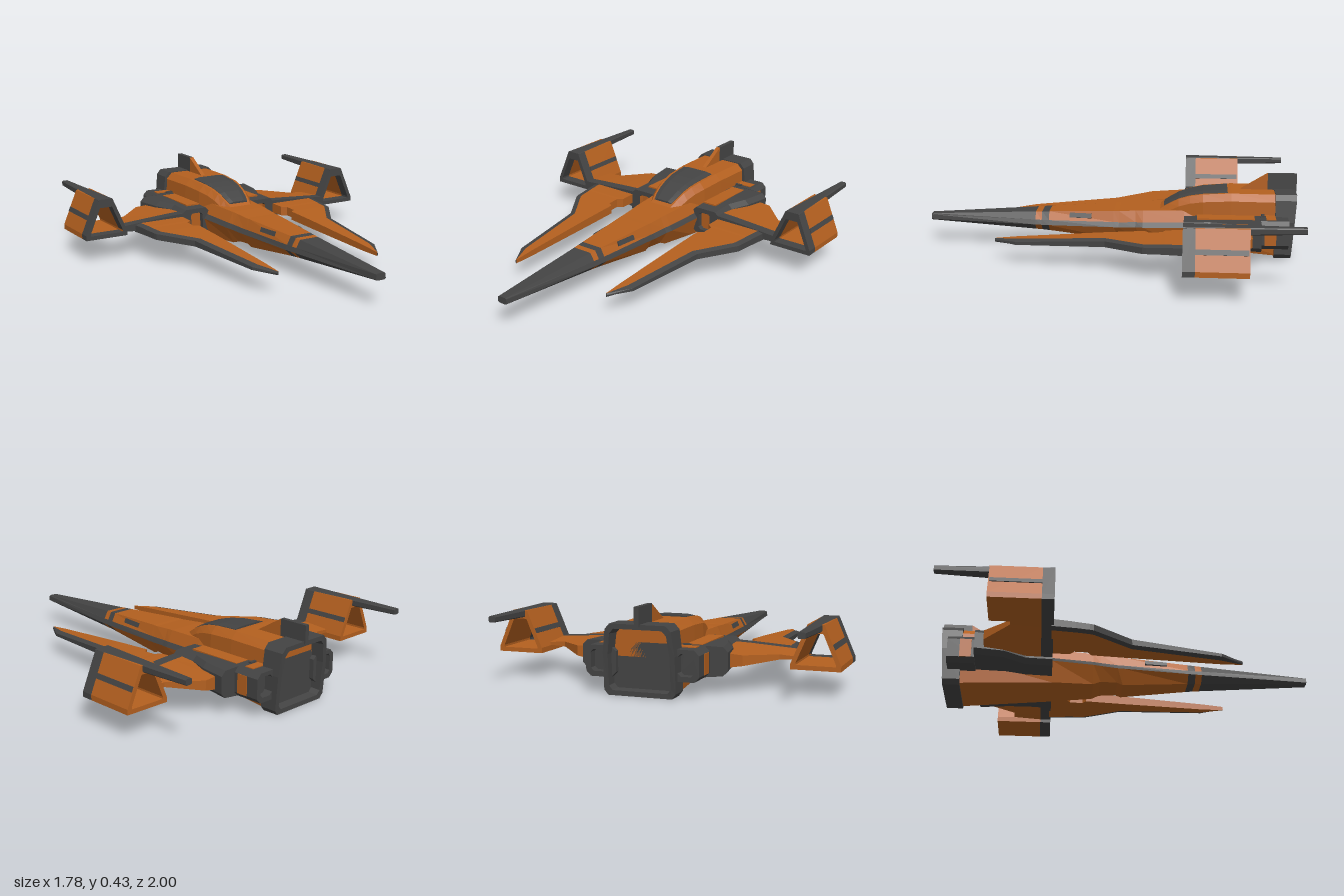
import * as THREE from 'three';

const orange = new THREE.MeshStandardMaterial({ color: 0xb4601f });
orange.name = 'burnt orange';
const dark = new THREE.MeshStandardMaterial({ color: 0x444444 });
dark.name = 'dark grey';
const O = 0, D = 1, PALETTE = [orange, dark];

// Skin between rings of [x,y,z]; pick(i,j) gives the colour of each panel. side -1 mirrors it.
function loft(name, rings, pick, capBack = D, capFront = D, side = 1) {
  if (side < 0) rings = rings.map(r => r.map(([x, y, z]) => [-x, y, z]).reverse());
  const pos = [[], []], n = rings[0].length;
  const tri = (c, ...pts) => pts.forEach(p => pos[c].push(...p));
  for (let i = 0; i < rings.length - 1; i++) {
    for (let j = 0; j < n; j++) {
      const k = (j + 1) % n, a = rings[i][j], b = rings[i][k], c = rings[i + 1][k], d = rings[i + 1][j];
      const panel = side < 0 ? (2 * n - 2 - j) % n : j;
      const col = pick(i, panel);
      // the mirrored loft runs backwards when rings advance along x
      tri(col, a, b, c); tri(col, a, c, d);
    }
  }
  const first = rings[0], last = rings[rings.length - 1];
  for (let j = 1; j < n - 1; j++) {
    tri(capBack, first[0], first[j + 1], first[j]);
    tri(capFront, last[0], last[j], last[j + 1]);
  }
  const g = new THREE.BufferGeometry();
  g.setAttribute('position', new THREE.Float32BufferAttribute(pos[0].concat(pos[1]), 3));
  g.addGroup(0, pos[0].length / 3, 0);
  g.addGroup(pos[0].length / 3, pos[1].length / 3, 1);
  g.computeVertexNormals();
  const m = new THREE.Mesh(g, PALETTE);
  m.name = name;
  return m;
}

function box(name, mat, size, at, rot = [0, 0, 0]) {
  const m = new THREE.Mesh(new THREE.BoxGeometry(...size), mat);
  m.position.set(...at);
  m.rotation.set(...rot);
  m.name = name;
  return m;
}

function extrude(name, mat, pts, depth, hole) {
  const shape = new THREE.Shape(pts.map(p => new THREE.Vector2(...p)));
  if (hole) shape.holes.push(new THREE.Path(hole.map(p => new THREE.Vector2(...p))));
  const m = new THREE.Mesh(new THREE.ExtrudeGeometry(shape, { depth, bevelEnabled: false }), mat);
  m.name = name;
  return m;
}

// Chamfered rectangle section
const oct = (x0, x1, y0, y1, z, c = 0.025) => [
  [x0 + c, y0, z], [x1 - c, y0, z], [x1, y0 + c, z], [x1, y1 - c, z],
  [x1 - c, y1, z], [x0 + c, y1, z], [x0, y1 - c, z], [x0, y0 + c, z]];

// Symmetric section from its right half, listed bottom to top
const sym = half => [...half, ...half.slice().reverse().map(([x, y, z]) => [-x, y, z])];

function buildFuselage(g) {
  // z, top half width, half width, top y, chine y, bottom y, bottom half width
  const rows = [
    [-0.92, 0.14, 0.18, 0.25, 0.17, 0.01, 0.16], [-0.4, 0.12, 0.165, 0.24, 0.165, 0.045, 0.13],
    [-0.18, 0.105, 0.148, 0.232, 0.157, 0.055, 0.1], [-0.14, 0.1, 0.14, 0.229, 0.155, 0.073, 0.095],
    [-0.05, 0.095, 0.13, 0.222, 0.15, 0.075, 0.085], [-0.02, 0.092, 0.127, 0.222, 0.15, 0.063, 0.083],
    [0.335, 0.062, 0.097, 0.204, 0.145, 0.095, 0.055], [0.375, 0.058, 0.093, 0.202, 0.145, 0.098, 0.052],
    [0.41, 0.055, 0.09, 0.2, 0.145, 0.1, 0.05], [1, 0.02, 0.03, 0.167, 0.148, 0.132, 0.02]];
  const rings = rows.map(([z, t, w, yt, yc, yb, b]) =>
    sym([[b, yb, z], [w, yc - 0.01, z], [w * 0.88, yc + 0.015, z], [t, yt, z]]));
  g.add(loft('fuselage', rings, (i, j) => (i === 6 || i === 8 || j === 1 || j === 5 ? D : O)));

  // Raised cockpit fairing and the glass on it
  const hump = [[-0.92, 0.16, 0.337], [-0.65, 0.155, 0.338], [-0.5, 0.145, 0.328],
    [-0.43, 0.13, 0.315], [-0.37, 0.118, 0.295], [-0.32, 0.105, 0.268], [-0.27, 0.09, 0.235]];
  g.add(loft('cockpitFairing', hump.map(([z, w, y]) =>
    sym([[w, 0.18, z], [w * 0.97, Math.max(y - 0.035, 0.19), z], [w * 0.75, y, z]])), () => O, O, O));
  const glass = hump.slice(1).map(([z, w, y]) => {
    const zz = Math.max(-0.63, Math.min(z, -0.29)), h = w * 0.66;
    const yy = z > -0.28 ? 0.25 : y;
    return sym([[h, yy - 0.02, zz], [h * 0.97, yy + 0.002, zz], [h * 0.6, yy + 0.008, zz]]);
  });
  g.add(loft('canopyGlass', glass, () => D));

  // Engine housing with a recessed nozzle
  const outline = sym([[0.16, 0], [0.18, 0.025], [0.18, 0.2], [0.165, 0.315], [0.14, 0.342]].map(p => [...p, 0]));
  const ring = (z, s, tilt) => outline.map(([x, y]) =>
    [x * s, 0.17 + (y - 0.17) * s, z - tilt * y]);
  g.add(loft('engineHousing', [ring(-0.9, 0.82, 0), ring(-0.968, 0.86, 0.07),
    ring(-0.968, 1, 0.07), ring(-0.88, 1, 0)], () => D));

  // Tail fin, cut in the z-y plane
  [['finFront', orange, [[0.69, 0.33], [0.845, 0.33], [0.845, 0.425]]],
    ['finRear', dark, [[0.845, 0.33], [1, 0.33], [1, 0.425], [0.845, 0.425]]]].forEach(([n, m, p]) => {
    const fin = extrude(n, m, p, 0.024);
    fin.rotation.y = Math.PI / 2;
    fin.position.x = -0.012;
    g.add(fin);
  });
}

function buildSide(g, s) {
  const at = (x, y, z) => [s * x, y, z];

  // Nacelle: rear nozzle, flared shoulder and recessed intake
  g.add(loft('nacelle', [
    oct(0.18, 0.26, 0.105, 0.21, -0.9, 0.015), oct(0.18, 0.26, 0.105, 0.21, -0.945, 0.015),
    oct(0.13, 0.285, 0.08, 0.23, -0.945), oct(0.13, 0.285, 0.08, 0.23, -0.8),
    oct(0.13, 0.375, 0.09, 0.228, -0.8), oct(0.13, 0.35, 0.09, 0.228, -0.65),
    oct(0.13, 0.308, 0.075, 0.225, -0.54), oct(0.13, 0.31, 0.07, 0.22, -0.4),
    oct(0.175, 0.255, 0.09, 0.195, -0.4, 0.015), oct(0.175, 0.255, 0.09, 0.195, -0.43, 0.015),
  ], () => D, D, O, s));
  g.add(box('nacelleTopPanel', orange, [0.08, 0.008, 0.3], at(0.2, 0.227, -0.62)));
  g.add(box('nacelleRearPanel', orange, [0.09, 0.008, 0.05], at(0.2, 0.23, -0.855)));
  g.add(box('nacelleSidePanel', orange, [0.008, 0.1, 0.06], at(0.284, 0.155, -0.85)));
  g.add(box('deckMark', dark, [0.09, 0.008, 0.016], at(0.15, 0.235, -0.815)));
  g.add(box('noseSidePlate', dark, [0.008, 0.026, 0.12], at(0.091, 0.192, 0.16), [0, -s * 0.085, s * 0.4]));

  // Wing, skinned outward with a dark leading edge: x, trailing z, bottom, top
  const wing = [[0.25, -0.72, 0.1, 0.205], [0.37, -0.75, 0.115, 0.2], [0.43, -0.75, 0.125, 0.196],
    [0.57, -0.615, 0.142, 0.187], [0.675, -0.615, 0.148, 0.18]].map(([x, z, b, t]) =>
    [[x, b, -0.4], [x, b, -0.46], [x, b + 0.01, z], [x, t - 0.01, z], [x, t, -0.46], [x, t, -0.4]]);
  g.add(loft('wing', wing, (i, j) => (j === 0 || j >= 4 ? D : O), O, O, s));

  // Forward blade with a notch and dark outer border: z, inner x, outer x, bottom, top
  const blade = [[-0.41, 0.305, 0.6, 0.13, 0.185], [-0.31, 0.305, 0.588, 0.13, 0.182],
    [-0.29, 0.335, 0.586, 0.13, 0.18], [-0.22, 0.335, 0.577, 0.128, 0.177],
    [-0.2, 0.305, 0.573, 0.127, 0.176], [0, 0.306, 0.445, 0.118, 0.165],
    [0.47, 0.308, 0.385, 0.1, 0.132], [0.59, 0.308, 0.315, 0.1, 0.12]].map(([z, xi, xo, b, t]) => {
    const xm = Math.max(xi + 0.002, xo - 0.032);
    return [[xi, b, z], [xm, b, z], [xo, b + 0.008, z], [xo, t - 0.008, z], [xm, t, z], [xi, t, z]];
  });
  g.add(loft('forwardBlade', blade, (i, j) => (j >= 1 && j <= 3 ? D : O), O, D, s));

  // Open wingtip pod: orange shell, dark front frame, tapering top beam
  const outer = [[-0.12, 0.128], [0.12, 0.128], [0.12, 0.155], [0.04, 0.343], [-0.04, 0.343], [-0.12, 0.155]];
  const hole = [[-0.095, 0.15], [-0.095, 0.16], [-0.035, 0.3], [0.035, 0.3], [0.095, 0.16], [0.095, 0.15]];
  [['podShell', orange, -0.715, 0.255], ['podFrontFrame', dark, -0.46, 0.06]].forEach(([n, m, z, d]) => {
    const pod = extrude(n, m, outer, d, hole);
    pod.position.set(s * 0.77, 0, z);
    g.add(pod);
  });
  g.add(loft('podTopBeam', [oct(0.752, 0.788, 0.315, 0.345, -0.98, 0.005),
    oct(0.728, 0.812, 0.302, 0.346, -0.4, 0.005)], () => D, D, D, s));
  [-1, 1].forEach(k => g.add(box('podStripe', dark, [0.008, 0.026, 0.25],
    at(0.77 + k * 0.084, 0.24, -0.585), [0, 0, s * k * 0.4])));
}

export function createModel() {
  const model = new THREE.Group();
  model.name = 'starfighter';
  const hull = new THREE.Group();
  hull.name = 'hull';
  buildFuselage(hull);
  model.add(hull);
  [1, -1].forEach(s => {
    const half = new THREE.Group();
    half.name = s > 0 ? 'leftAssembly' : 'rightAssembly';
    buildSide(half, s);
    model.add(half);
  });
  return model;
}
